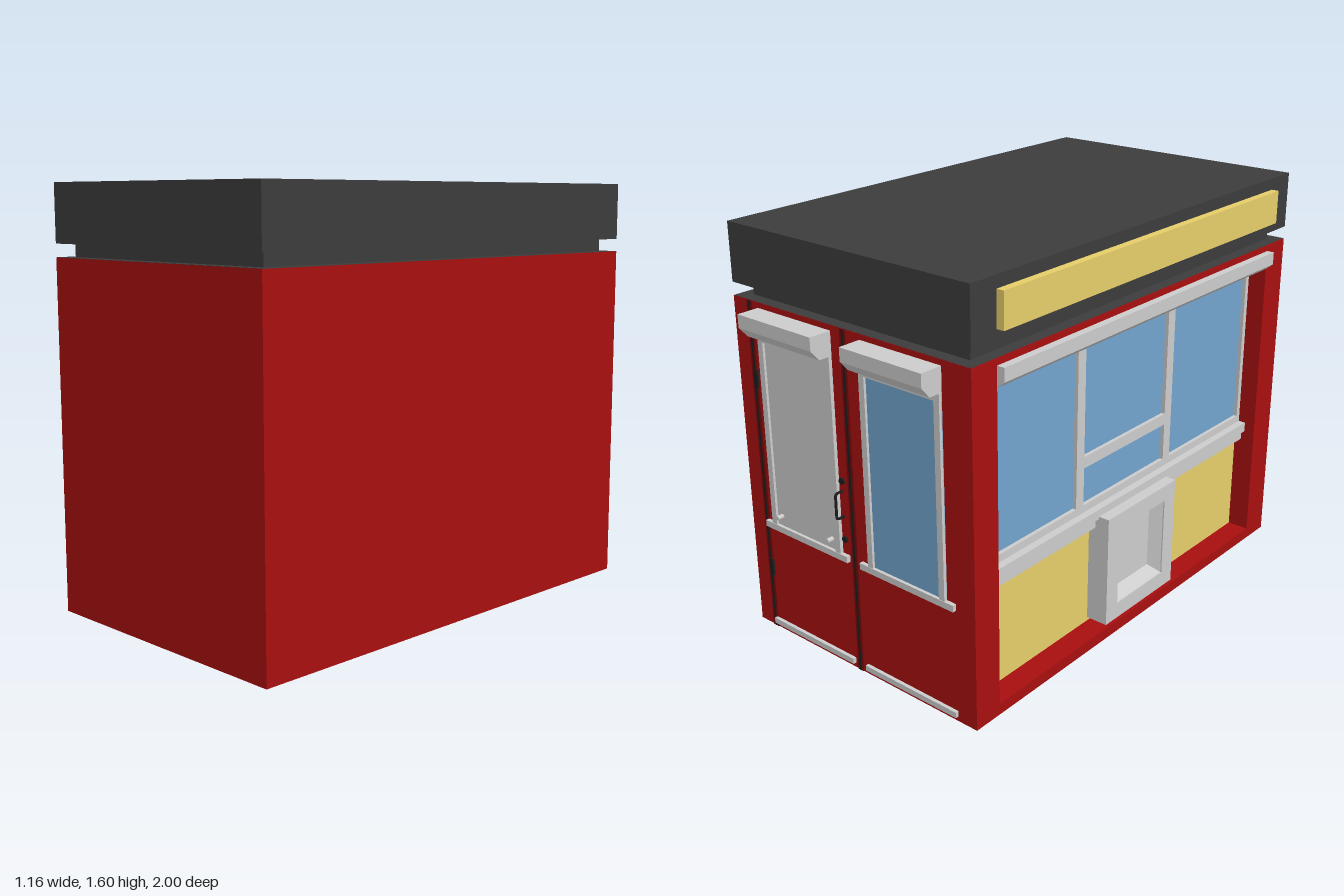
import * as THREE from 'three';

const mat = (color) => new THREE.MeshStandardMaterial({ color, side: THREE.DoubleSide });
const RED = mat(0xa80f0f), DARK = mat(0x3c3c3c), GREY = mat(0xcccccc);
const YELLOW = mat(0xe5cc69), BLUE = mat(0x72a4cd), BLACK = mat(0x1c1c1c), SHADE = mat(0x700808);

export function createModel() {
  const root = new THREE.Group();
  const add = (name, geo, m) => {
    const mesh = new THREE.Mesh(geo, m);
    mesh.name = name;
    root.add(mesh);
    return mesh;
  };
  // Box given by its extents on each axis
  const box = (name, m, x0, x1, y0, y1, z0, z1) =>
    add(name, new THREE.BoxGeometry(x1 - x0, y1 - y0, z1 - z0), m)
      .position.set((x0 + x1) / 2, (y0 + y1) / 2, (z0 + z1) / 2);
  // Constant cross-section swept along z
  const sweep = (pts, depth) => new THREE.ExtrudeGeometry(
    new THREE.Shape(pts.map(([x, y]) => new THREE.Vector2(x, y))), { depth, bevelEnabled: false });

  const X0 = -0.55, X1 = 0.58, Z0 = -0.91, Z1 = 1, H = 1.33, T = 0.008;

  // Shell of plain walls, open underneath
  box('frontWall', RED, X0, X1, 0, H, Z1 - T, Z1);
  box('leftWall', RED, X1 - T, X1, 0, H, Z0, Z1);
  box('backWall', RED, X0, X1, 0, H, Z0, Z0 + T);

  // Service wall around one large recess
  const a = -0.79, b = 0.87, lo = 0.045, hi = 1.305, IN = -0.45;
  box('servicePost', RED, X0, X0 + T, 0, H, Z0, a);
  box('servicePost', RED, X0, X0 + T, 0, H, b, Z1);
  box('serviceSill', RED, X0, X0 + T, 0, lo, a, b);
  box('serviceHeader', RED, X0, X0 + T, hi, H, a, b);
  box('recessSide', RED, X0, IN, lo, hi, a - T, a);
  box('recessSide', RED, X0, IN, lo, hi, b, b + T);
  box('recessBottom', RED, X0, IN, lo - T, lo, a, b);
  box('recessTop', RED, X0, IN, hi, hi + T, a, b);

  // Roof
  box('topLid', DARK, X0 + 0.002, X1 - 0.002, H - T, H + 0.001, Z0 + 0.002, Z1 - 0.002);
  box('roofNeck', DARK, -0.5, 0.53, H, 1.38, -0.86, 0.95);
  box('roof', DARK, X0, X1, 1.38, 1.6, Z0, Z1);
  box('signBoard', YELLOW, -0.58, X0, 1.425, 1.555, -0.79, 0.87);

  // Lower panel, counter and shutter housing of the service wall
  box('lowerPanel', YELLOW, -0.46, IN, lo, 0.5, a, b);
  box('counterTop', GREY, -0.505, -0.44, 0.5, 0.54, a, b);
  box('counterEdge', GREY, -0.49, -0.445, 0.46, 0.5, a, b);
  add('shutterHousing', sweep([[IN, hi], [-0.58, hi], [-0.58, 1.255], [-0.55, 1.23], [IN, 1.23]], b - a), GREY)
    .position.z = a;

  // Three windows, the middle one with a low hatch
  const edges = [a, -0.25, 0.31, b], F = 0.022;
  edges.forEach((z, i) => {
    const z0 = i === 0 ? z : i === 3 ? z - F : z - F;
    const z1 = i === 3 ? z : z + F;
    box('windowPost', GREY, -0.475, -0.44, 0.54, 1.23, z0, z1);
  });
  box('windowTopRail', GREY, -0.475, -0.44, 1.19, 1.23, a, b);
  box('windowBottomRail', GREY, -0.475, -0.44, 0.54, 0.57, a, b);
  box('hatchRail', GREY, -0.475, -0.44, 0.72, 0.765, edges[1], edges[2]);
  box('windowGlass', BLUE, -0.46, -0.445, 0.54, 1.23, a, b);
  for (let i = 0; i < 3; i++)
    box('windowBacking', GREY, -0.444, -0.438, 0.57, 1.2, edges[i] + 0.03, edges[i + 1] - 0.03);

  // Serving tray: bevelled frame with a sunken plate
  const rect = (P, w, h, cw) => {
    const p = [[-w, -h], [w, -h], [w, h], [-w, h]].map(([x, y]) => new THREE.Vector2(x, y));
    return new P(cw ? p.reverse() : p);
  };
  const frame = rect(THREE.Shape, 0.22, 0.225);
  frame.holes.push(rect(THREE.Path, 0.15, 0.16, true));
  const trayGeo = new THREE.ExtrudeGeometry(frame, { depth: 0.095, bevelEnabled: false });
  trayGeo.rotateY(-Math.PI / 2);
  add('trayFrame', trayGeo, GREY).position.set(-0.455, 0.285, 0.05);
  const funnel = new THREE.CylinderGeometry(0.15 * Math.SQRT2, 0.115 * Math.SQRT2, 0.05, 4, 1, true, Math.PI / 4)
    .rotateZ(Math.PI / 2).toNonIndexed();
  funnel.computeVertexNormals();
  const funnelMesh = add('trayFunnel', funnel, GREY);
  funnelMesh.scale.y = 1.067;
  funnelMesh.position.set(-0.52, 0.285, 0.05);
  box('trayPlate', GREY, -0.5, -0.49, 0.15, 0.42, -0.08, 0.18);

  // Door joints on the back
  for (const x of [0.494, 0.019]) {
    box('doorJoint', SHADE, x - 0.014, x + 0.014, 0, H, Z0 - 0.003, Z0 + 0.02);
    box('doorJointSlot', BLACK, x - 0.004, x + 0.004, 0, H, Z0 - 0.004, Z0);
  }

  // Two back bays: shuttered panel on the door, glass beside it
  const bays = [[0.08, 0.45, 0.045, 0.485, GREY], [-0.425, -0.06, -0.465, -0.02, BLUE]];
  for (const [x0, x1, r0, r1, fill] of bays) {
    const housing = sweep([[0, 1.31], [0.09, 1.31], [0.09, 1.26], [0.055, 1.22], [0, 1.22]], x1 - x0);
    housing.rotateY(Math.PI / 2);
    add('bayShutterHousing', housing, GREY).position.set(x0, 0, Z0);
    box('bayPane', fill, x0, x1, 0.46, 1.22, Z0 - 0.004, Z0);
    for (const x of [x0, x1 - 0.025])
      box('bayPost', GREY, x, x + 0.025, 0.46, 1.22, Z0 - 0.014, Z0);
    box('bayTopRail', GREY, x0, x1, 1.19, 1.22, Z0 - 0.014, Z0);
    box('baySill', GREY, r0, r1, 0.445, 0.47, Z0 - 0.016, Z0);
    box('kickRail', GREY, r0, r1, 0.02, 0.042, Z0 - 0.014, Z0);
  }

  // Door hardware
  for (const y of [0.23, 1]) box('hinge', BLACK, 0.477, 0.495, y, y + 0.07, Z0 - 0.009, Z0);
  const knob = (name, m, x, y, r, d) => {
    add(name, new THREE.CylinderGeometry(r, r, d, 16).rotateX(Math.PI / 2), m).position.set(x, y, Z0 - d / 2);
  };
  for (const x of [0.13, 0.4]) knob('shutterKnob', GREY, x, 0.51, 0.009, 0.03);
  for (const y of [0.53, 0.76]) knob('doorLock', BLACK, 0.062, y, 0.012, 0.008);
  const grip = new THREE.CatmullRomCurve3([
    [0, 0.62, 0], [0, 0.62, -0.027], [0, 0.628, -0.034],
    [0, 0.712, -0.034], [0, 0.72, -0.027], [0, 0.72, 0],
  ].map((p) => new THREE.Vector3(...p)), false, 'catmullrom', 0.1);
  add('doorHandle', new THREE.TubeGeometry(grip, 32, 0.005, 8), BLACK).position.set(0.065, 0, Z0);

  return root;
}
